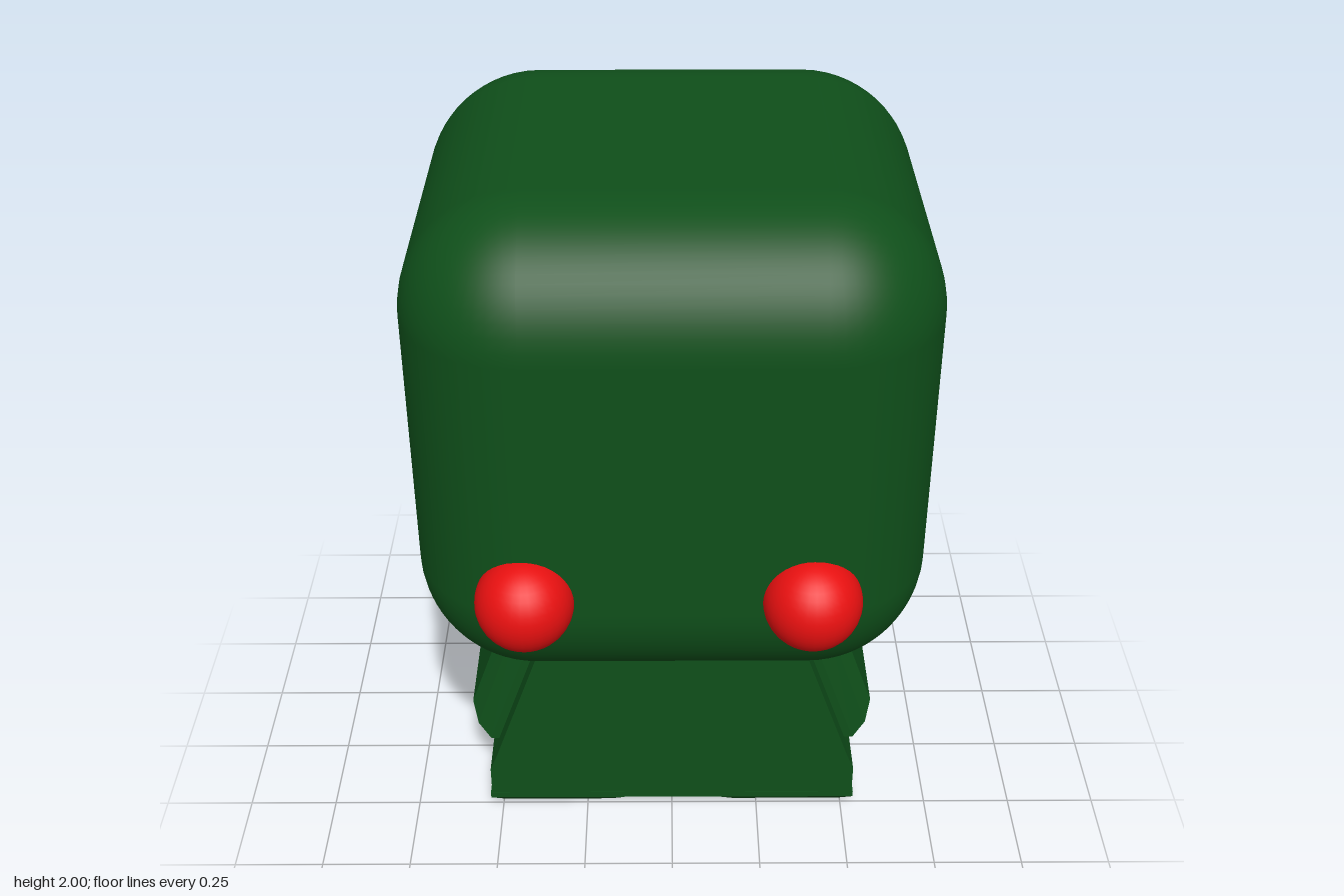
import * as THREE from 'three';
import { RoundedBoxGeometry } from 'three/addons/geometries/RoundedBoxGeometry.js';
import { ConvexGeometry } from 'three/addons/geometries/ConvexGeometry.js';

const green = new THREE.MeshStandardMaterial({ color: 0x0f4f1a });
const red = new THREE.MeshStandardMaterial({ color: 0xe81010 });

// Convex solid from rectangular layers: two [x, y] ends, each spanning z0..z1
function layered(layers, side) {
  const points = [];
  for (const [ax, ay, bx, by, z0, z1] of layers)
    for (const [x, y] of [[ax, ay], [bx, by]])
      for (const z of [z0, z1]) points.push(new THREE.Vector3(x * side, y, z));
  return new ConvexGeometry(points);
}

export function createModel() {
  const model = new THREE.Group();
  const add = (name, geometry, material, x = 0, y = 0, z = 0) => {
    const mesh = new THREE.Mesh(geometry, material);
    mesh.name = name;
    mesh.position.set(x, y, z);
    model.add(mesh);
  };

  // Large rounded cube head
  add('head', new RoundedBoxGeometry(1.33, 1.33, 1.33, 8, 0.31), green, 0, 1.335, -0.06);

  // Ball eyes, half sunk in the face
  add('rightEye', new THREE.SphereGeometry(0.125, 32, 20), red, -0.37, 1.02, 0.6);
  add('leftEye', new THREE.SphereGeometry(0.125, 32, 20), red, 0.35, 1.02, 0.6);

  // Flared torso, tucked under the head
  const outline = [[-0.53, 0.04], [0.53, 0.04], [0.53, 0.15], [0.51, 0.2],
    [0.34, 0.68], [-0.34, 0.68], [-0.51, 0.2], [-0.53, 0.15]];
  const torso = new THREE.ExtrudeGeometry(
    new THREE.Shape(outline.map(([x, y]) => new THREE.Vector2(x, y))),
    { depth: 0.66, bevelEnabled: false });
  add('torso', torso, green, 0, 0, -0.39);

  for (const [label, side] of [['left', 1], ['right', -1]]) {
    // Bevelled arm slab lying on the sloping flank
    add(label + 'Arm', layered([
      [0.33, 0.66, 0.5, 0.21, -0.34, 0.2],
      [0.37, 0.66, 0.53, 0.21, -0.34, 0.2],
      [0.44, 0.625, 0.565, 0.26, -0.33, 0.19],
      [0.495, 0.56, 0.58, 0.32, -0.3, 0.16],
    ], side), green);

    // Foot with a chamfered sole
    add(label + 'Foot', layered([
      [0.14, 0.06, 0.534, 0.06, -0.391, 0.271],
      [0.14, 0.04, 0.534, 0.04, -0.391, 0.271],
      [0.18, 0, 0.495, 0, -0.355, 0.235],
    ], side), green);
  }
  return model;
}
